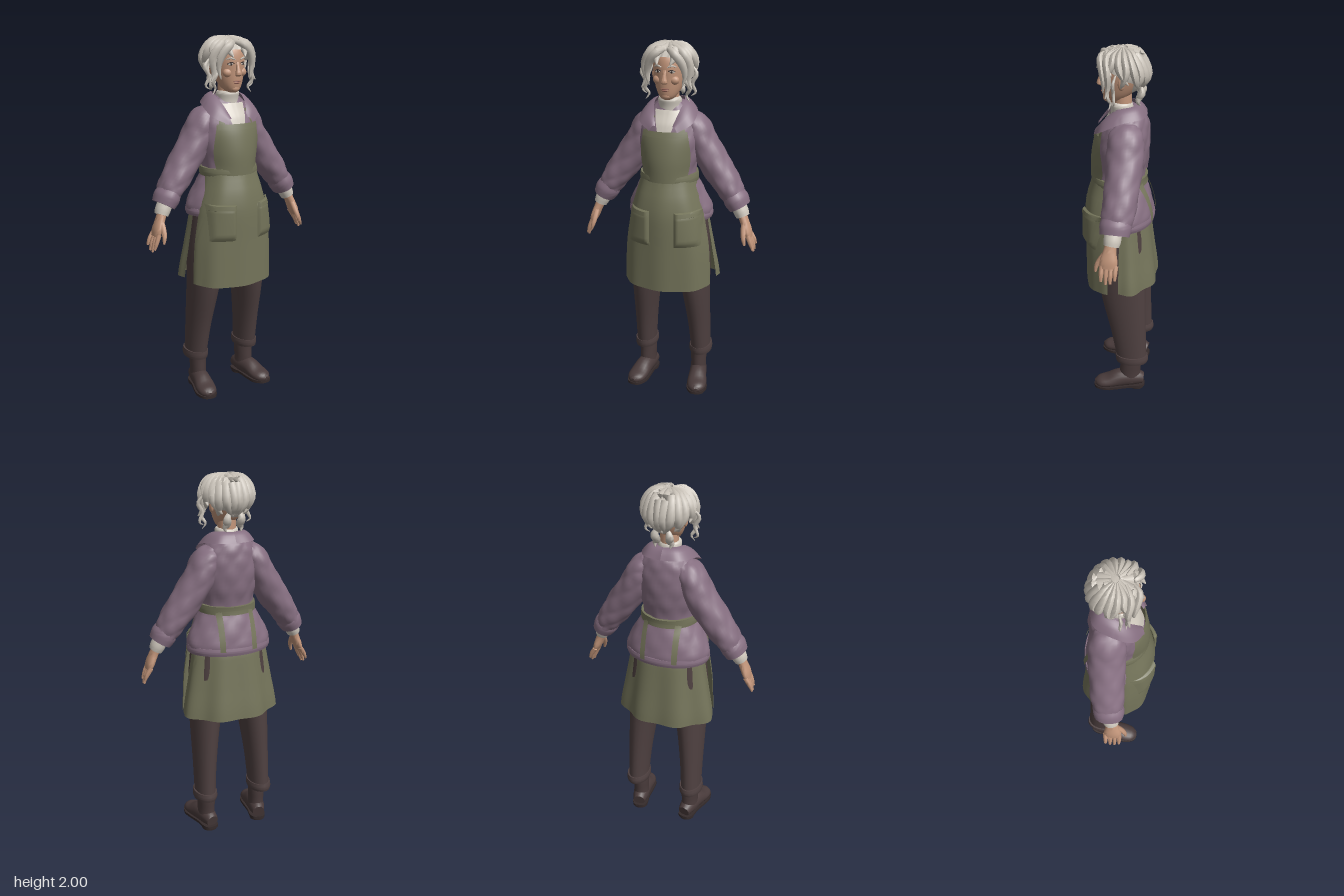
import * as THREE from 'three';
import { toCreasedNormals } from 'three/addons/utils/BufferGeometryUtils.js';

const V = (x, y, z) => new THREE.Vector3(x, y, z);
const mat = (name, color, side = THREE.FrontSide) => {
  const m = new THREE.MeshStandardMaterial({ color, side });
  m.name = name;
  return m;
};

// surface from a function of (u, v)
function grid(nu, nv, fn, crease = 0.9) {
  const pos = [], idx = [];
  for (let j = 0; j <= nv; j++) for (let i = 0; i <= nu; i++) pos.push(...fn(i / nu, j / nv).toArray());
  for (let j = 0; j < nv; j++) for (let i = 0; i < nu; i++) {
    const a = j * (nu + 1) + i, c = a + nu + 1;
    idx.push(a, a + 1, c + 1, a, c + 1, c);
  }
  const g = new THREE.BufferGeometry();
  g.setAttribute('position', new THREE.Float32BufferAttribute(pos, 3));
  g.setIndex(idx);
  return toCreasedNormals(g, crease);
}

// smooth interpolation through rows of [x, y, z, radiusA, radiusB]
function spline(rows, t) {
  const n = rows.length - 1, f = Math.min(Math.max(t, 0), 1) * n, i = Math.min(Math.floor(f), n - 1), k = f - i;
  const p = (m) => rows[Math.min(Math.max(m, 0), n)];
  return rows[i].map((b, c) => {
    const a = p(i - 1)[c], d = p(i + 1)[c], e = p(i + 2)[c];
    return b + 0.5 * k * (d - a + k * (2 * a - 5 * b + 4 * d - e + k * (3 * (b - d) + e - a)));
  });
}

// row of a rising profile at height y
function profile(rows, y) {
  let i = 0;
  while (i < rows.length - 2 && rows[i + 1][1] < y) i++;
  return spline(rows, (i + (y - rows[i][1]) / (rows[i + 1][1] - rows[i][1])) / (rows.length - 1));
}

// elliptical rings swept along the rows; flat keeps the rings level
function loft(rows, { steps = rows.length * 3, seg = 20, flat = false, cap = true, bump = () => 0 } = {}) {
  const rings = [];
  for (let j = 0; j <= steps; j++) {
    const r = spline(rows, j / steps), p = V(...r);
    const t = V(...spline(rows, (j + 0.3) / steps)).sub(V(...spline(rows, (j - 0.3) / steps))).normalize();
    if (flat) t.set(0, Math.sign(t.y), 0);
    const u = V(0, 0, 1);
    if (Math.abs(t.z) > 0.8) u.set(0, 1, 0);
    u.cross(t).normalize();
    rings.push({ p, u, v: t.clone().cross(u), a: r[3], b: r[4], w: j / steps });
  }
  if (cap) {
    rings.unshift({ ...rings[0], a: 0.0005, b: 0.0005 });
    rings.push({ ...rings[rings.length - 1], a: 0.0005, b: 0.0005 });
  }
  return grid(seg, rings.length - 1, (u, v) => {
    const r = rings[Math.round(v * (rings.length - 1))], ang = u * Math.PI * 2;
    const k = r.a > 0.001 ? bump(u, r.w) : 0;
    return r.p.clone().addScaledVector(r.u, (r.a + k) * Math.cos(ang)).addScaledVector(r.v, (r.b + k) * Math.sin(ang));
  });
}

// cloth patch laid on the front of a profile
const drape = (rows, y0, y1, left, right, off) => grid(14, 14, (u, v) => {
  const y = y0 + (y1 - y0) * v, r = profile(rows, y), x = left(y) + (right(y) - left(y)) * u;
  return V(x, y, r[2] + r[4] * Math.sqrt(Math.max(0.03, 1 - (x / r[3]) ** 2)) + off(u, v));
});

const torso = [[0, 1.06, -0.02, 0.225, 0.15], [0, 1.12, -0.018, 0.228, 0.148], [0, 1.21, -0.004, 0.185, 0.142],
  [0, 1.3, 0.012, 0.142, 0.13], [0, 1.4, 0.003, 0.155, 0.138], [0, 1.5, -0.008, 0.17, 0.134],
  [0, 1.58, -0.018, 0.158, 0.118], [0, 1.64, -0.03, 0.115, 0.092], [0, 1.685, -0.02, 0.068, 0.06]];
const frontSkirt = [[0, 0.67, 0.05, 0.24, 0.148], [0, 0.9, 0.05, 0.23, 0.15], [0, 1.1, 0.05, 0.2, 0.152],
  [0, 1.2, 0.045, 0.172, 0.142], [0, 1.29, 0.03, 0.15, 0.132]];
const backSkirt = [[0, 0.69, -0.01, 0.275, 0.19], [0, 0.9, -0.01, 0.24, 0.165], [0, 1.06, -0.01, 0.212, 0.145], [0, 1.14, -0.01, 0.19, 0.12]];

export function createModel() {
  const model = new THREE.Group();
  const hair = mat('silver hair', 0xc6bfb5, THREE.DoubleSide), skin = mat('skin', 0xc2957a);
  const jacket = mat('mauve jacket', 0x866f81, THREE.DoubleSide), apron = mat('olive apron', 0x74745a, THREE.DoubleSide);
  const trousers = mat('brown trousers', 0x4e4040), leather = mat('boot leather', 0x493b3b), sole = mat('boot sole', 0x352b2b);
  const wool = mat('cream wool', 0xd0c9be), dark = mat('dark eyes', 0x3a2e2c), lip = mat('lips', 0x99665a);
  const add = (name, geo, material, parent = model) => {
    const m = new THREE.Mesh(geo, material);
    m.name = name;
    parent.add(m);
    return m;
  };
  const blob = (name, material, x, y, z, a, b, c) => {
    const m = add(name, new THREE.SphereGeometry(1, 14, 10), material);
    m.position.set(x, y, z);
    m.scale.set(a, b, c);
    return m;
  };
  const quilt = (n, m) => (u, v) => 0.006 * Math.abs(Math.sin(Math.PI * (u * n + v * m)) * Math.sin(Math.PI * (u * n - v * m)));

  // quilted jacket body and hem
  add('jacketBody', loft(torso, { steps: 42, seg: 56, flat: true, bump: quilt(9, 5) }), jacket);
  add('jacketHem', loft([[0, 1.055, -0.02, 0.23, 0.156], [0, 1.075, -0.02, 0.236, 0.16], [0, 1.095, -0.02, 0.232, 0.156]], { flat: true, seg: 36 }), jacket);

  // sweater at the neck
  add('turtleneck', loft([[0, 1.6, -0.005, 0.072, 0.07], [0, 1.66, 0.0, 0.062, 0.062], [0, 1.7, 0.008, 0.062, 0.06], [0, 1.712, 0.01, 0.054, 0.052]], { flat: true }), wool);
  const vee = (y) => 0.03 + (y - 1.52) * 0.3;
  add('sweaterFront', drape(torso, 1.52, 1.65, (y) => -vee(y), vee, () => 0.012), wool);

  // apron bib, belt and skirt panels
  const bib = (y) => 0.118 + 0.018 * Math.sin(Math.PI * (1.55 - y) / 0.26);
  add('apronBib', drape(torso, 1.28, 1.545, (y) => -bib(y), bib, (u, v) => 0.02 + 0.006 * Math.sin(Math.PI * u)), apron);
  add('apronBibHem', drape(torso, 1.52, 1.55, () => -0.12, () => 0.12, () => 0.029), apron);
  add('apronBelt', loft([[0, 1.268, 0.013, 0.158, 0.15], [0, 1.29, 0.015, 0.16, 0.15], [0, 1.313, 0.013, 0.156, 0.15]], { flat: true, seg: 36 }), apron);
  const panel = (rows, from, to, wave) => grid(48, 16, (u, v) => {
    const y0 = rows[0][1], y = y0 + (rows[rows.length - 1][1] - y0) * v;
    const r = profile(rows, y), th = from + (to - from) * u, k = 1 + wave * (1 - v * 0.6) * Math.cos(8 * th);
    return V(r[3] * k * Math.sin(th), y + 0.012 * (1 - v) * (1 - Math.abs(Math.cos(th))), r[2] + r[4] * k * Math.cos(th));
  });
  add('apronFrontSkirt', panel(frontSkirt, -Math.PI / 2, Math.PI / 2, 0.018), apron);
  add('apronBackSkirt', panel(backSkirt, Math.PI / 2, Math.PI * 1.5, -0.045), apron);

  for (const s of [1, -1]) {
    // apron pockets, straps and hanging ties
    const inX = s > 0 ? 0.075 : -0.19, outX = s > 0 ? 0.205 : -0.06;
    const puff = (u, v) => 0.004 + 0.016 * Math.min(1, 8 * Math.min(u, 1 - u, v, 1 - v));
    add('apronPocket', drape(frontSkirt, 0.935, 1.13, () => inX, () => outX, puff), apron);
    add('pocketHem', drape(frontSkirt, 1.1, 1.132, () => inX, () => outX, (u, v) => puff(u, v) + 0.005), apron);
    add('apronStrap', drape(torso, 1.53, 1.62, (y) => s * (0.1 - (y - 1.53) * 0.3) - 0.014, (y) => s * (0.1 - (y - 1.53) * 0.3) + 0.014, () => 0.016), apron);
    add('apronTie', grid(2, 12, (u, v) => {
      const y = 1.08 + 0.22 * v, r = profile(torso, y), x = s * 0.09 + (0.5 - u) * 0.03;
      return V(x, y, r[2] - r[4] * Math.sqrt(1 - (x / r[3]) ** 2) - 0.016);
    }), apron);

    // folded jacket collar
    const inner = new THREE.CatmullRomCurve3([V(0, 1.7, -0.083), V(s * 0.06, 1.702, -0.055), V(s * 0.078, 1.69, 0.01), V(s * 0.068, 1.645, 0.075), V(s * 0.045, 1.575, 0.126)]);
    const outer = new THREE.CatmullRomCurve3([V(0, 1.65, -0.132), V(s * 0.095, 1.65, -0.11), V(s * 0.146, 1.638, -0.01), V(s * 0.142, 1.59, 0.09), V(s * 0.075, 1.55, 0.14)]);
    add('collar', grid(24, 5, (u, v) => inner.getPoint(u).lerp(outer.getPoint(u), v).add(V(0, 0.014 * Math.sin(Math.PI * v), 0))), jacket);

    // sleeve, turned cuff and sweater cuff
    add('sleeve', loft([[s * 0.09, 1.595, -0.03, 0.05, 0.07], [s * 0.135, 1.55, -0.034, 0.07, 0.09], [s * 0.175, 1.46, -0.035, 0.078, 0.094],
      [s * 0.25, 1.34, -0.03, 0.08, 0.088], [s * 0.32, 1.24, -0.022, 0.07, 0.085], [s * 0.36, 1.175, -0.015, 0.058, 0.075]], { steps: 32, seg: 36, bump: quilt(5, 4) }), jacket);
    add('sleeveCuff', loft([[s * 0.348, 1.2, -0.014, 0.06, 0.078], [s * 0.365, 1.17, -0.012, 0.068, 0.083], [s * 0.386, 1.133, -0.01, 0.06, 0.076]]), jacket);
    add('sweaterCuff', loft([[s * 0.375, 1.15, -0.003, 0.04, 0.045], [s * 0.395, 1.11, 0.0, 0.041, 0.045], [s * 0.407, 1.083, 0.004, 0.036, 0.04]]), wool);

    // hand with fingers
    add('palm', loft([[s * 0.4, 1.1, 0.004, 0.025, 0.03], [s * 0.417, 1.06, 0.01, 0.024, 0.034], [s * 0.437, 1.01, 0.014, 0.022, 0.046], [s * 0.45, 0.975, 0.013, 0.014, 0.042]]), skin);
    for (let f = 0; f < 4; f++) {
      const z = 0.048 - f * 0.024, len = [0.075, 0.09, 0.085, 0.062][f];
      add('finger', loft([[s * 0.443, 0.99, z, 0.013, 0.013], [s * (0.46 + f * 0.002), 0.985 - len * 0.5, z + 0.002, 0.012, 0.012],
        [s * (0.473 + f * 0.002), 0.985 - len, z + 0.002, 0.006, 0.007]], { seg: 8 }), skin);
    }
    add('thumb', loft([[s * 0.42, 1.05, 0.03, 0.016, 0.016], [s * 0.422, 1.01, 0.06, 0.015, 0.014], [s * 0.428, 0.975, 0.078, 0.012, 0.011], [s * 0.435, 0.945, 0.083, 0.006, 0.006]], { seg: 8 }), skin);

    // trouser leg with turn-up
    add('trouserLeg', loft([[s * 0.165, 0.2, -0.078, 0.055, 0.085], [s * 0.158, 0.4, -0.055, 0.062, 0.1], [s * 0.142, 0.65, -0.022, 0.08, 0.126],
      [s * 0.118, 0.88, -0.01, 0.105, 0.13], [s * 0.1, 1.1, 0, 0.1, 0.12]], { flat: true }), trousers);
    add('trouserTurnUp', loft([[s * 0.166, 0.195, -0.078, 0.062, 0.09], [s * 0.165, 0.215, -0.078, 0.066, 0.095], [s * 0.165, 0.24, -0.076, 0.063, 0.093]], { flat: true }), trousers);

    // ankle boot, toes turned out
    const boot = new THREE.Group();
    boot.name = 'boot';
    boot.position.set(s * 0.155, 0, -0.07);
    boot.rotation.y = s * 0.17;
    model.add(boot);
    add('bootShaft', loft([[0, 0.05, 0, 0.046, 0.062], [0, 0.11, 0.003, 0.044, 0.06], [0, 0.17, 0, 0.046, 0.06], [0, 0.22, 0, 0.046, 0.06]], { flat: true }), leather, boot);
    add('bootFoot', loft([[0, 0.055, -0.07, 0.034, 0.034], [0, 0.065, -0.02, 0.046, 0.05], [0, 0.062, 0.06, 0.05, 0.054],
      [0, 0.046, 0.13, 0.056, 0.036], [0, 0.038, 0.18, 0.047, 0.03], [0, 0.034, 0.208, 0.018, 0.014]]), leather, boot);
    const half = [[0.03, -0.075], [0.045, -0.04], [0.045, 0.02], [0.056, 0.1], [0.058, 0.15], [0.036, 0.2]];
    const outline = new THREE.Shape();
    outline.moveTo(0, -0.082);
    outline.splineThru([...half, [0, 0.213], ...half.slice().reverse().map(([x, z]) => [-x, z]), [0, -0.082]].map(([x, z]) => new THREE.Vector2(x, z)));
    const soleGeo = new THREE.ExtrudeGeometry(outline, { depth: 0.014, bevelEnabled: false, curveSegments: 24 });
    soleGeo.rotateX(Math.PI / 2);
    add('bootSole', soleGeo, sole, boot).position.y = 0.026;
    add('bootHeel', new THREE.CylinderGeometry(0.045, 0.043, 0.02, 16), sole, boot).position.set(0, 0.01, -0.035);
    const ball = add('bootBallSole', new THREE.CylinderGeometry(0.05, 0.046, 0.014, 16), sole, boot);
    ball.position.set(0, 0.007, 0.125);
    ball.scale.z = 1.3;

    // eyes, brows and ears
    blob('eyeWhite', wool, s * 0.036, 1.855, 0.099, 0.016, 0.007, 0.006);
    blob('iris', dark, s * 0.036, 1.855, 0.103, 0.006, 0.006, 0.004);
    add('eyelid', loft([[s * 0.018, 1.858, 0.106, 0.002, 0.002], [s * 0.036, 1.864, 0.105, 0.003, 0.003], [s * 0.054, 1.856, 0.093, 0.002, 0.002]], { seg: 6 }), dark);
    add('eyebrow', loft([[s * 0.016, 1.878, 0.109, 0.003, 0.003], [s * 0.038, 1.886, 0.105, 0.005, 0.005], [s * 0.06, 1.878, 0.088, 0.002, 0.002]], { seg: 6 }), hair);
    blob('ear', skin, s * 0.088, 1.825, -0.005, 0.012, 0.03, 0.018);
    blob('cheek', skin, s * 0.042, 1.81, 0.078, 0.028, 0.024, 0.022);
  }

  // head, nose and mouth
  add('head', loft([[0, 1.705, 0.055, 0.02, 0.022], [0, 1.72, 0.047, 0.042, 0.048], [0, 1.76, 0.025, 0.066, 0.078], [0, 1.82, 0.008, 0.083, 0.098],
    [0, 1.88, 0.0, 0.088, 0.108], [0, 1.93, -0.005, 0.08, 0.1], [0, 1.97, -0.01, 0.045, 0.06]], { flat: true, seg: 28 }), skin);
  add('neck', new THREE.CylinderGeometry(0.047, 0.05, 0.12, 16), skin).position.set(0, 1.72, 0);
  add('nose', loft([[0, 1.865, 0.105, 0.009, 0.007], [0, 1.83, 0.113, 0.011, 0.012], [0, 1.803, 0.118, 0.018, 0.015], [0, 1.793, 0.112, 0.012, 0.009]], { flat: true, seg: 12 }), skin);
  blob('upperLip', lip, 0, 1.766, 0.103, 0.024, 0.004, 0.006);
  blob('lowerLip', lip, 0, 1.757, 0.1, 0.018, 0.005, 0.006);
  blob('chin', skin, 0, 1.728, 0.082, 0.026, 0.02, 0.018);

  // hair cap with combed ridges
  const limit = (phi) => 1.1 + 0.6 * (1 - Math.cos(phi));
  const onHead = (phi, polar, k = 1) => V(0.12 * k * Math.sin(polar) * Math.sin(phi), 1.88 + 0.108 * k * Math.cos(polar), -0.008 + 0.122 * k * Math.sin(polar) * Math.cos(phi));
  add('hairCap', grid(72, 16, (u, v) => {
    const phi = u * Math.PI * 2, polar = limit(phi) * (1 - v);
    return onHead(phi, polar, 1 + 0.025 * Math.sin(18 * phi + 3 * polar) * Math.sin(polar));
  }), hair);

  // swept locks with flicked ends
  const lock = (pts, r) => add('hairLock', loft(pts.map((p, i) => [...p.toArray(), r * [0.5, 1, 1, 0.65, 0.12][i], r * [0.4, 0.8, 0.8, 0.55, 0.12][i]]), { steps: 14, seg: 8 }), hair);
  for (const s of [1, -1]) {
    for (let k = 0; k < 9; k++) {
      const phi = s * (0.5 + k * 0.32), end = limit(phi), bend = s * (k % 2 ? 0.2 : -0.12);
      lock([onHead(phi - s * 0.35, 0.15, 0.97), onHead(phi - s * 0.1, 0.75, 0.99), onHead(phi, end * 0.75, 1.03),
        onHead(phi + bend, end + 0.05, 1.05), onHead(phi + bend * 2, end + 0.3, 1.14)], 0.026);
    }
    // strands framing the face, then loose side curls
    lock([V(s * 0.008, 1.965, 0.075), V(s * 0.045, 1.95, 0.105), V(s * 0.085, 1.9, 0.095), V(s * 0.1, 1.84, 0.085), V(s * 0.088, 1.78, 0.088)], 0.022);
    lock([V(s * 0.02, 1.98, 0.04), V(s * 0.08, 1.95, 0.07), V(s * 0.118, 1.885, 0.06), V(s * 0.112, 1.81, 0.06), V(s * 0.135, 1.765, 0.07)], 0.024);
    lock([V(s * 0.11, 1.86, 0.05), V(s * 0.1, 1.81, 0.065), V(s * 0.12, 1.765, 0.06), V(s * 0.1, 1.73, 0.05), V(s * 0.118, 1.7, 0.055)], 0.011);
    lock([V(s * 0.12, 1.88, 0.02), V(s * 0.148, 1.84, 0.03), V(s * 0.125, 1.79, 0.03), V(s * 0.143, 1.745, 0.025), V(s * 0.12, 1.725, 0.03)], 0.011);
    lock([V(s * 0.03, 1.8, -0.1), V(s * 0.04, 1.77, -0.105), V(s * 0.035, 1.745, -0.09), V(s * 0.045, 1.725, -0.085), V(s * 0.04, 1.705, -0.095)], 0.022);
  }
  return model;
}
